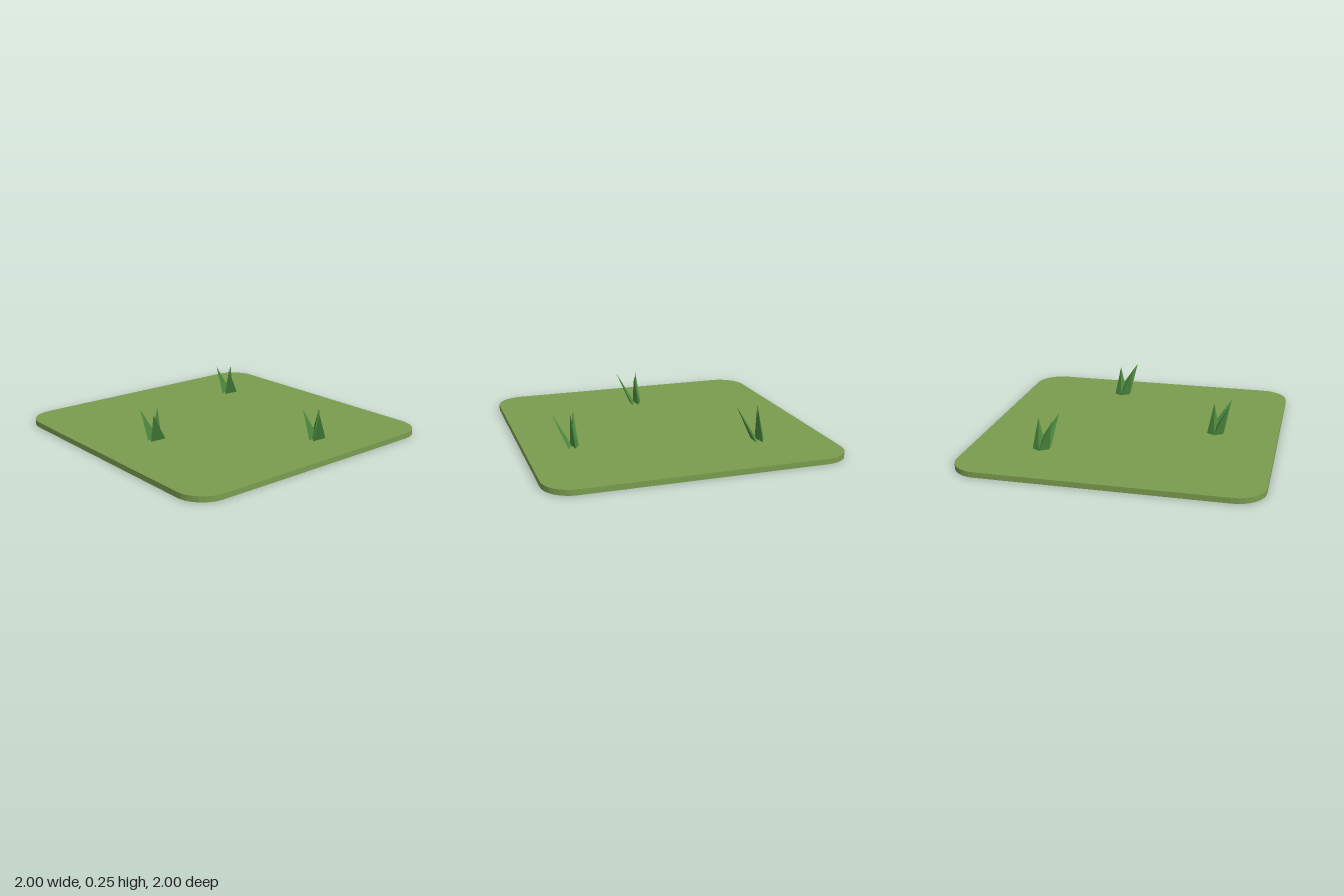
import * as THREE from 'three';
import { ConvexGeometry } from 'three/addons/geometries/ConvexGeometry.js';

const THICKNESS = 0.037;

const material = (color) => new THREE.MeshStandardMaterial({ color, flatShading: true });

// Thin square slab with rounded corners
function createTile() {
  const inner = 0.81, radius = 0.19;
  const shape = new THREE.Shape();
  [[1, 1], [-1, 1], [-1, -1], [1, -1]].forEach(([sx, sy], i) => {
    const start = i * Math.PI / 2;
    shape.absarc(sx * inner, sy * inner, radius, start, start + Math.PI / 2, false);
  });
  shape.closePath();
  const geometry = new THREE.ExtrudeGeometry(shape, { depth: THICKNESS, bevelEnabled: false, curveSegments: 4 });
  geometry.rotateX(-Math.PI / 2);
  const tile = new THREE.Mesh(geometry, material(0x7a9c4f));
  tile.name = 'groundTile';
  return tile;
}

// Each blade is a leaning three-sided spike: tip [x, z] and base corners [x, z]
const BLADES = [
  { name: 'frontBlade', tip: [-0.09, 0.118], base: [[-0.053, 0.03], [0.06, 0.037], [-0.01, 0]] },
  { name: 'middleBlade', tip: [0.018, 0.01], base: [[-0.03, 0.008], [0.06, -0.01], [0.006, -0.043]] },
  { name: 'backBlade', tip: [-0.09, -0.032], base: [[-0.053, -0.003], [0.03, 0.002], [0.006, -0.043]] },
];

function createTuft(grass) {
  const tuft = new THREE.Group();
  tuft.name = 'grassTuft';
  for (const { name, tip, base } of BLADES) {
    const points = base.map(([x, z]) => new THREE.Vector3(x, 0, z));
    points.push(new THREE.Vector3(tip[0], 0.215, tip[1]));
    const blade = new THREE.Mesh(new ConvexGeometry(points), grass);
    blade.name = name;
    tuft.add(blade);
  }
  return tuft;
}

export function createModel() {
  const model = new THREE.Group();
  model.name = 'grassTile';
  model.add(createTile());

  // Three identical tufts scattered on the tile
  const grass = material(0x4c8a3f);
  for (const [x, z] of [[-0.573, 0], [0.517, -0.535], [0.256, 0.679]]) {
    const tuft = createTuft(grass);
    tuft.position.set(x, THICKNESS, z);
    model.add(tuft);
  }
  return model;
}
